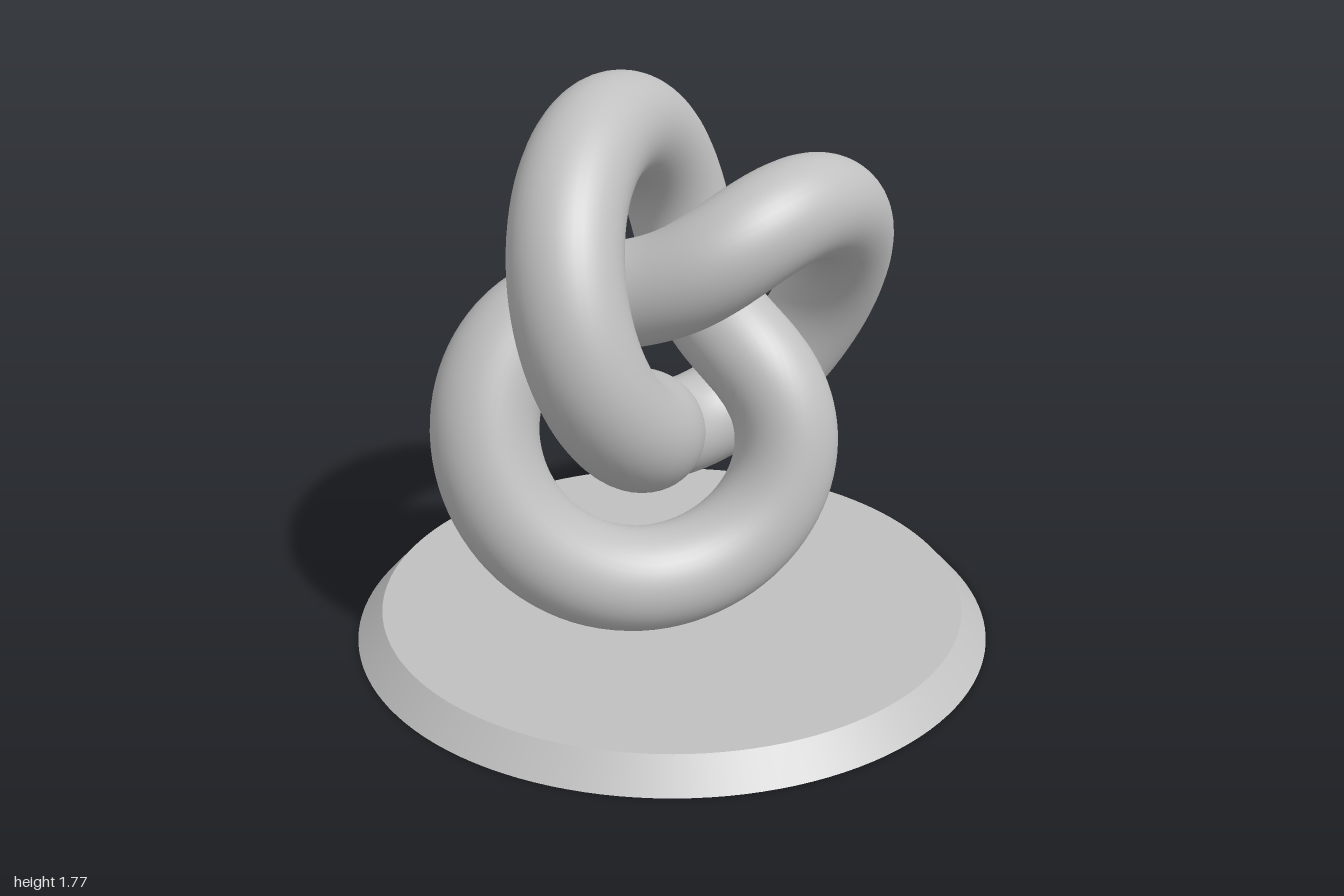
import * as THREE from 'three';

export function createModel() {
  const model = new THREE.Group();
  model.name = 'knotSculpture';

  const grey = new THREE.MeshStandardMaterial({ color: 0xc0c0c0 });
  grey.name = 'plain grey';

  const add = (name, geometry, y) => {
    const mesh = new THREE.Mesh(geometry, grey);
    mesh.name = name;
    mesh.position.y = y;
    model.add(mesh);
  };

  // Round plinth with a bevelled rim
  const baseHeight = 0.087;
  add('base', new THREE.CylinderGeometry(0.92, 1, baseHeight, 128), baseHeight / 2);

  // Three-lobed knot, its lowest lobe sunk slightly into the plinth
  add('knot', new THREE.TorusKnotGeometry(0.484, 0.161, 300, 40, 2, 3), 0.923);

  return model;
}
